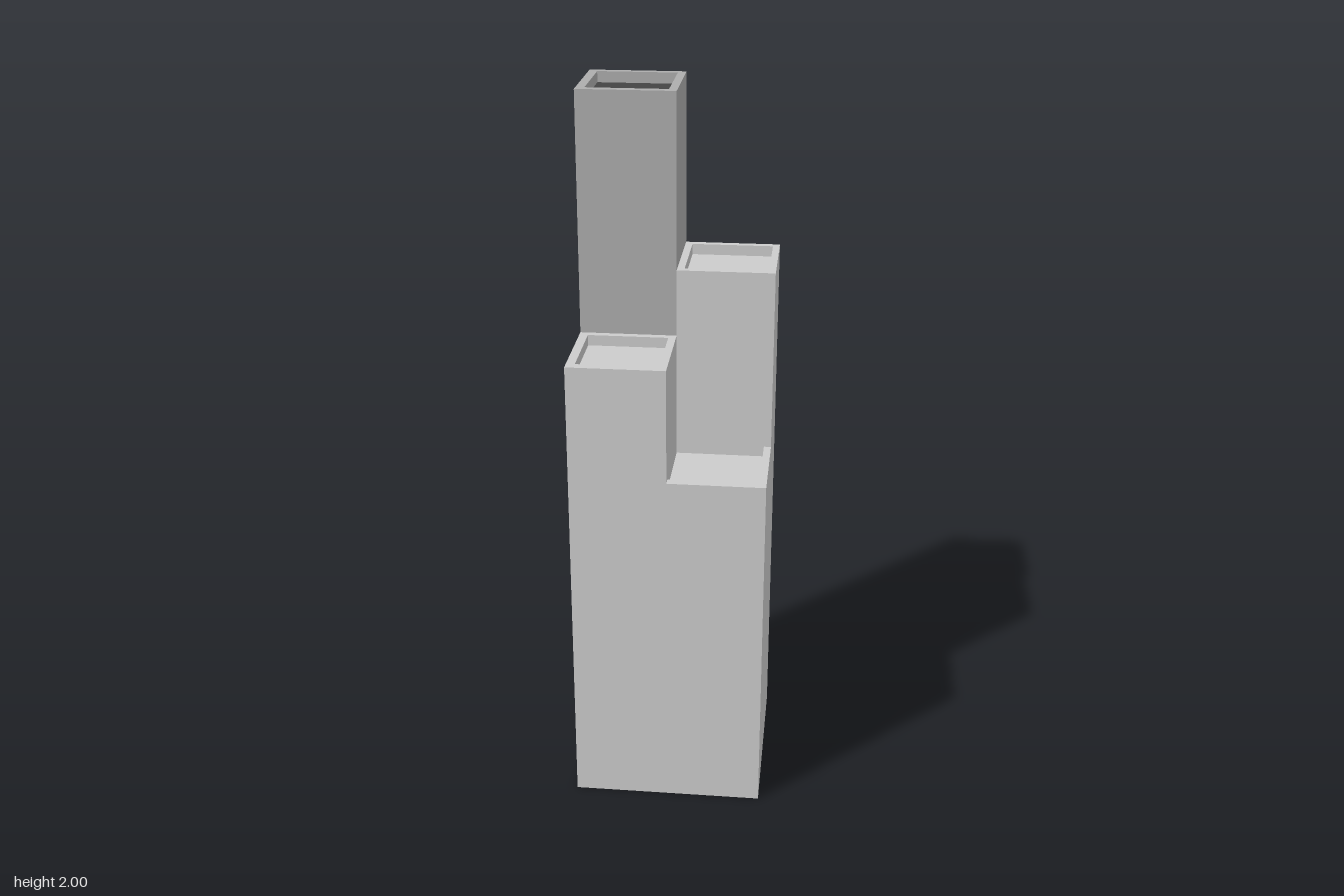
import * as THREE from 'three';

const W = 0.267;      // half width of the plan
const DEPTH = 0.03;   // depth of the roof recesses
const LOW = 1.01, MID = 1.333, HIGH = 1.52, TOP = 2;

const makeMaterial = (color) => new THREE.MeshStandardMaterial({ color, side: THREE.DoubleSide });

// Maps flat (u, v) to space for a sheet facing the named way, at distance d
const facing = {
  front: (u, v, d) => [u, v, d],
  back: (u, v, d) => [-u, v, d],
  left: (u, v, d) => [d, v, -u],
  right: (u, v, d) => [d, v, u],
  up: (u, v, d) => [u, d, -v],
};

const rect = (u0, u1, v0, v1) => [[u0, v0], [u1, v0], [u1, v1], [u0, v1]];
const vectors = (points) => points.map(([u, v]) => new THREE.Vector2(u, v));

function sheet(name, way, d, outline, material, hole) {
  const shape = new THREE.Shape(vectors(outline));
  if (hole) shape.holes.push(new THREE.Path(vectors(hole)));
  const geometry = new THREE.ShapeGeometry(shape);
  const position = geometry.attributes.position;
  for (let i = 0; i < position.count; i++) {
    position.setXYZ(i, ...facing[way](position.getX(i), position.getY(i), d));
  }
  geometry.computeVertexNormals();
  const mesh = new THREE.Mesh(geometry, material);
  mesh.name = name;
  return mesh;
}

// Flat roof with a parapet rim round a shallow recess; a and b are [x0, x1, z0, z1]
function roof(name, y, a, b, rimMaterial, floorMaterial) {
  const group = new THREE.Group();
  group.name = name;
  const flat = ([x0, x1, z0, z1]) => rect(x0, x1, -z1, -z0);
  const [x0, x1, z0, z1] = b;
  const f = y - DEPTH;
  group.add(
    sheet('parapetRim', 'up', y, flat(a), rimMaterial, flat(b)),
    sheet('roofFloor', 'up', f, flat(b), floorMaterial),
    sheet('recessBack', 'front', z0, rect(x0, x1, f, y), rimMaterial),
    sheet('recessFront', 'back', z1, rect(-x1, -x0, f, y), rimMaterial),
    sheet('recessRight', 'left', x0, rect(-z1, -z0, f, y), rimMaterial),
    sheet('recessLeft', 'right', x1, rect(z0, z1, f, y), rimMaterial),
  );
  return group;
}

export function createModel() {
  const model = new THREE.Group();
  model.name = 'steppedTower';
  const grey = makeMaterial(0xcccccc);
  const darkGrey = makeMaterial(0xadadad);
  const charcoal = makeMaterial(0x444444);

  // Outer walls, each one sheet with a step at its middle; the base is open
  const stepped = (h0, h1) => [[-W, 0], [W, 0], [W, h1], [0, h1], [0, h0], [-W, h0]];
  model.add(
    sheet('frontWall', 'front', W, stepped(MID, LOW), grey),
    sheet('leftWall', 'left', W, stepped(LOW, HIGH), grey),
    sheet('backWall', 'back', -W, stepped(HIGH, TOP), grey),
    sheet('rightWall', 'right', -W, stepped(TOP, MID), grey),
  );

  // Inner walls rising between neighbouring blocks
  model.add(
    sheet('highBlockFront', 'front', 0, rect(0, W, LOW - DEPTH, HIGH), grey),
    sheet('midBlockSide', 'left', 0, rect(-W, 0, LOW - DEPTH, MID), grey),
    sheet('topBlockFront', 'front', 0, rect(-W, 0, MID, TOP), darkGrey),
    sheet('topBlockSide', 'left', 0, rect(0, W, HIGH, TOP), darkGrey),
  );

  // Recessed roofs
  model.add(
    roof('topRoof', TOP, [-W, 0, -W, 0], [-0.243, -0.022, -0.246, -0.024], darkGrey, charcoal),
    roof('highRoof', HIGH, [0, W, -W, 0], [0.02, 0.248, -0.247, -0.019], grey, grey),
    roof('midRoof', MID, [-W, 0, 0, W], [-0.243, -0.021, 0.02, 0.241], grey, grey),
  );

  // Lowest roof: its rim runs along the two outer edges only
  const rx = 0.247, rz = 0.239, f = LOW - DEPTH;
  const low = new THREE.Group();
  low.name = 'lowRoof';
  low.add(
    sheet('parapetRim', 'up', LOW, [[0, -W], [W, -W], [W, 0], [rx, 0], [rx, -rz], [0, -rz]], grey),
    sheet('roofFloor', 'up', f, rect(0, rx, -rz, 0), grey),
    sheet('recessFront', 'back', rz, rect(-rx, 0, f, LOW), grey),
    sheet('recessLeft', 'right', rx, rect(0, rz, f, LOW), grey),
  );
  model.add(low);
  return model;
}
